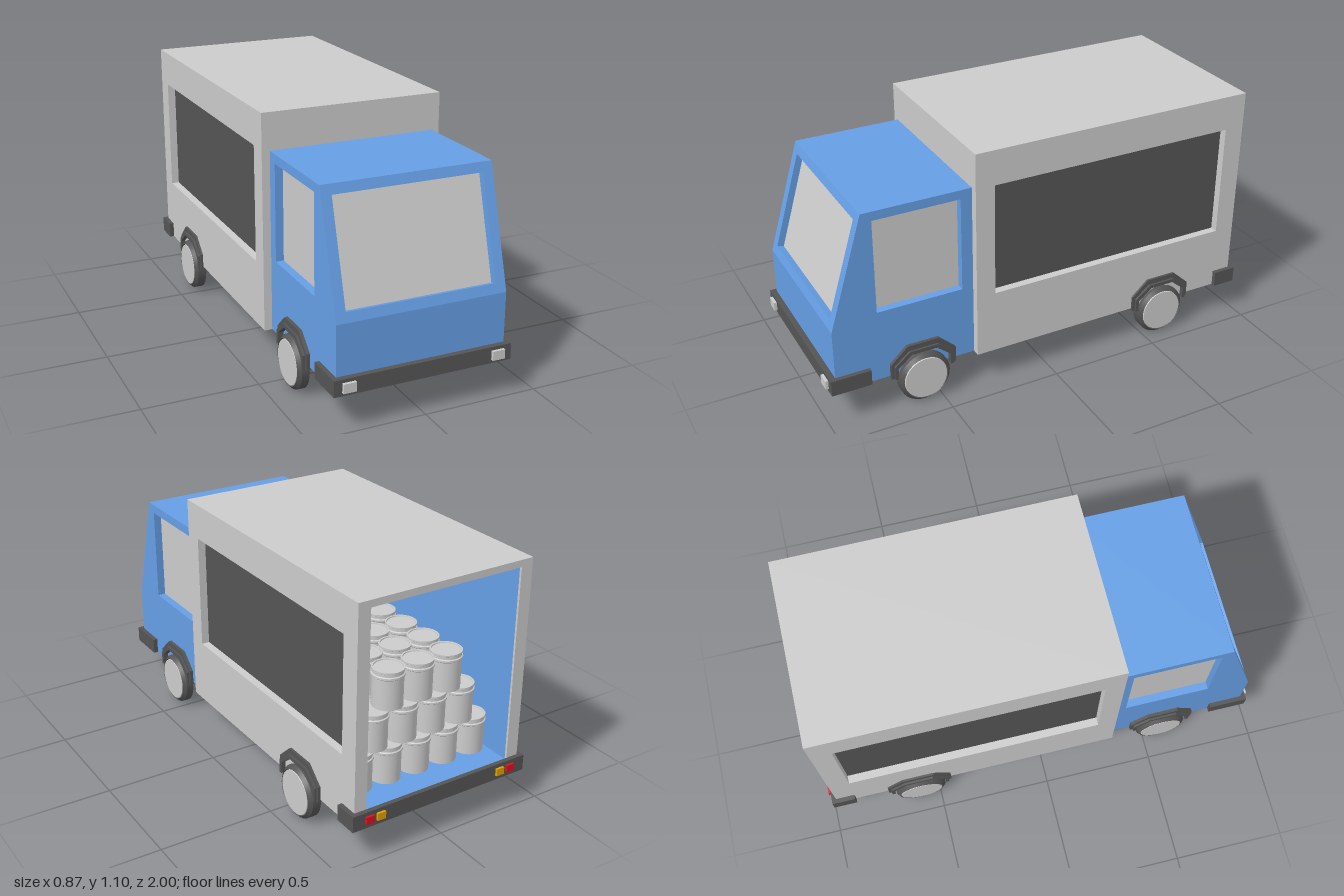
import * as THREE from 'three';

const mat = (color) => new THREE.MeshStandardMaterial({ color });
const grey = mat(0xcccccc), dark = mat(0x555555), blue = mat(0x669fe5);
const red = mat(0xdd1122), amber = mat(0xe0a000);

function add(parent, name, geometry, material) {
  const mesh = new THREE.Mesh(geometry, material);
  mesh.name = name;
  parent.add(mesh);
  return mesh;
}

// Box given by its limits on each axis
function block(parent, name, material, [x0, x1], [y0, y1], [z0, z1]) {
  const g = new THREE.BoxGeometry(x1 - x0, y1 - y0, z1 - z0);
  g.translate((x0 + x1) / 2, (y0 + y1) / 2, (z0 + z1) / 2);
  return add(parent, name, g, material);
}

const toPoints = (list) => list.map(([a, b]) => new THREE.Vector2(a, b));
const rect = (a0, a1, b0, b1) => [[a0, b0], [a1, b0], [a1, b1], [a0, b1]];

function extrude(outline, hole, depth) {
  const shape = new THREE.Shape(toPoints(outline));
  if (hole) shape.holes.push(new THREE.Path(toPoints(hole)));
  return new THREE.ExtrudeGeometry(shape, { depth, bevelEnabled: false });
}

// Outline in (z, y), extruded across x from x0 to x1
function sidePlate(parent, name, material, outline, hole, x0, x1) {
  const g = extrude(outline, hole, x1 - x0);
  g.rotateY(-Math.PI / 2);
  g.translate(x1, 0, 0);
  return add(parent, name, g, material);
}

function buildCab() {
  const cab = new THREE.Group();
  cab.name = 'cab';
  const profile = [[0.33, 0.155], [0.96, 0.155], [0.96, 0.44], [0.81, 0.94], [0.33, 0.94]];
  const window = rect(0.385, 0.765, 0.48, 0.9);
  sidePlate(cab, 'cabSideLeft', blue, profile, window, 0.335, 0.37);
  sidePlate(cab, 'cabSideRight', blue, profile, window, -0.37, -0.335);

  // Glass core showing through the window openings
  const core = [[0.34, 0.17], [0.929, 0.17], [0.929, 0.44], [0.785, 0.92], [0.34, 0.92]];
  sidePlate(cab, 'windowGlass', grey, core, null, -0.335, 0.335);

  block(cab, 'roof', blue, [-0.335, 0.335], [0.91, 0.94], [0.33, 0.81]);
  block(cab, 'nose', blue, [-0.335, 0.335], [0.155, 0.44], [0.9, 0.96]);
  block(cab, 'cabFloor', blue, [-0.335, 0.335], [0.155, 0.18], [0.33, 0.93]);

  // Slanted windscreen frame
  const frame = extrude(rect(-0.335, 0.335, 0, 0.522), rect(-0.325, 0.325, 0.042, 0.48), 0.03);
  frame.translate(0, 0, -0.03);
  const screen = add(cab, 'windscreenFrame', frame, blue);
  screen.rotation.x = -Math.atan2(0.15, 0.5);
  screen.position.set(0, 0.44, 0.96);
  return cab;
}

function buildCargoBox() {
  const box = new THREE.Group();
  box.name = 'cargoBox';
  const z = [-0.97, 0.335];
  block(box, 'cargoRoof', grey, [-0.405, 0.405], [1.07, 1.1], z);
  block(box, 'cargoBase', grey, [-0.405, 0.405], [0.155, 0.205], z);
  block(box, 'cargoFloor', blue, [-0.35, 0.35], [0.205, 0.215], z);
  block(box, 'frontWall', grey, [-0.405, 0.405], [0.205, 1.07], [0.295, 0.335]);
  block(box, 'frontLining', blue, [-0.35, 0.35], [0.215, 1.07], [0.285, 0.295]);
  const wall = rect(z[0], z[1], 0.205, 1.07);
  const opening = rect(-0.88, 0.25, 0.44, 0.945);
  for (const s of [-1, 1]) {
    const span = (a, b) => (s > 0 ? [a, b] : [-b, -a]);
    sidePlate(box, 'sideWall', grey, wall, opening, ...span(0.37, 0.405));
    block(box, 'sidePanel', dark, span(0.362, 0.37), [0.42, 0.96], [-0.9, 0.27]);
    block(box, 'sideLining', blue, span(0.352, 0.362), [0.205, 1.07], [-0.965, 0.29]);
    block(box, 'rearPost', grey, span(0.35, 0.375), [0.205, 1.07], [-0.97, -0.96]);
  }
  return box;
}

function buildWheel(side, xInner, xOuter, z) {
  const wheel = new THREE.Group();
  wheel.name = 'wheel';
  const w = xOuter - xInner;
  const tyre = new THREE.LatheGeometry(toPoints([
    [0, 0], [0.1, 0], [0.1, 0], [0.115, 0.006], [0.115, 0.006], [0.115, w - 0.016],
    [0.115, w - 0.016], [0.1, w], [0.1, w], [0.097, w - 0.006], [0.097, w - 0.006], [0, w - 0.006],
  ]), 32);
  add(wheel, 'tyre', tyre, dark);
  const hub = add(wheel, 'hub', new THREE.CylinderGeometry(0.095, 0.098, 0.008, 32), grey);
  hub.position.y = w - 0.004;
  wheel.rotation.z = -side * Math.PI / 2;
  wheel.position.set(side * xInner, 0.118, z);
  return wheel;
}

// Angular arch over a wheel, with a raised lip
function buildArch(parent, side, x0, x1, z) {
  const half = (w, low, mid, top) => [[w, low], [w, mid], [w * 0.48, top]];
  const ring = (outer, inner) => {
    const mirror = (pts) => pts.map(([a, b]) => [-a, b]).reverse();
    return [...outer, ...mirror(outer), ...inner, ...[]].length
      ? [...outer, ...mirror(outer), ...mirror(mirror(mirror(inner))).reverse(), ...inner.slice().reverse()]
      : [];
  };
  const place = (pts) => pts.map(([a, b]) => [a + z, b]);
  const span = (a, b) => (side > 0 ? [a, b] : [-b, -a]);
  const inner = half(0.119, 0.145, 0.195, 0.246);
  sidePlate(parent, 'wheelArch', dark, place(ring(half(0.147, 0.145, 0.215, 0.285), inner)), null, ...span(x0, x1));
  sidePlate(parent, 'archLip', dark, place(ring(half(0.134, 0.145, 0.205, 0.262), inner)), null, ...span(x1, x1 + 0.01));
}

function buildBarrel() {
  const profile = [[0, 0], [0.064, 0], [0.064, 0], [0.064, 0.012], [0.064, 0.012], [0.064, 0.13], [0.064, 0.13],
    [0.069, 0.134], [0.069, 0.134], [0.069, 0.142], [0.069, 0.142], [0.064, 0.145], [0.064, 0.145],
    [0.064, 0.155], [0.064, 0.155], [0.067, 0.157], [0.067, 0.157], [0.067, 0.165], [0.067, 0.165],
    [0.06, 0.165], [0.06, 0.165], [0.059, 0.16], [0.059, 0.16], [0, 0.16]];
  return new THREE.LatheGeometry(toPoints(profile), 24);
}

function buildBumpers() {
  const g = new THREE.Group();
  g.name = 'bumpers';
  const y = [0.155, 0.225];
  block(g, 'frontBumper', dark, [-0.39, 0.39], y, [0.96, 0.985]);
  block(g, 'rearBumper', dark, [-0.425, 0.425], y, [-0.99, -0.97]);
  for (const s of [-1, 1]) {
    const span = (a, b) => (s > 0 ? [a, b] : [-b, -a]);
    block(g, 'frontBumperEnd', dark, span(0.37, 0.39), y, [0.81, 0.96]);
    block(g, 'rearBumperEnd', dark, span(0.405, 0.425), y, [-0.97, -0.885]);
    block(g, 'headlight', grey, span(0.3, 0.355), [0.17, 0.21], [0.98, 0.998]);
    block(g, 'tailLight', red, span(0.33, 0.368), [0.176, 0.208], [-1, -0.985]);
    block(g, 'turnLight', amber, span(0.277, 0.315), [0.176, 0.208], [-1, -0.985]);
  }
  return g;
}

export function createModel() {
  const truck = new THREE.Group();
  truck.name = 'deliveryTruck';
  truck.add(buildCab(), buildCargoBox(), buildBumpers());

  for (const s of [-1, 1]) {
    truck.add(buildWheel(s, 0.35, 0.405, 0.575), buildWheel(s, 0.375, 0.435, -0.585));
    buildArch(truck, s, 0.31, 0.385, 0.575);
    buildArch(truck, s, 0.345, 0.415, -0.585);
  }

  // Barrels stacked in rows, each layer one narrower
  const load = new THREE.Group();
  load.name = 'barrels';
  const barrel = buildBarrel();
  for (let row = 0; row < 4; row++) {
    for (let layer = 0; layer < 3; layer++) {
      const count = 5 - layer;
      for (let i = 0; i < count; i++) {
        const m = add(load, 'barrel', barrel, grey);
        m.position.set((i - (count - 1) / 2) * 0.141, 0.215 + layer * 0.165, -0.8 + row * 0.15);
      }
    }
  }
  truck.add(load);
  return truck;
}
